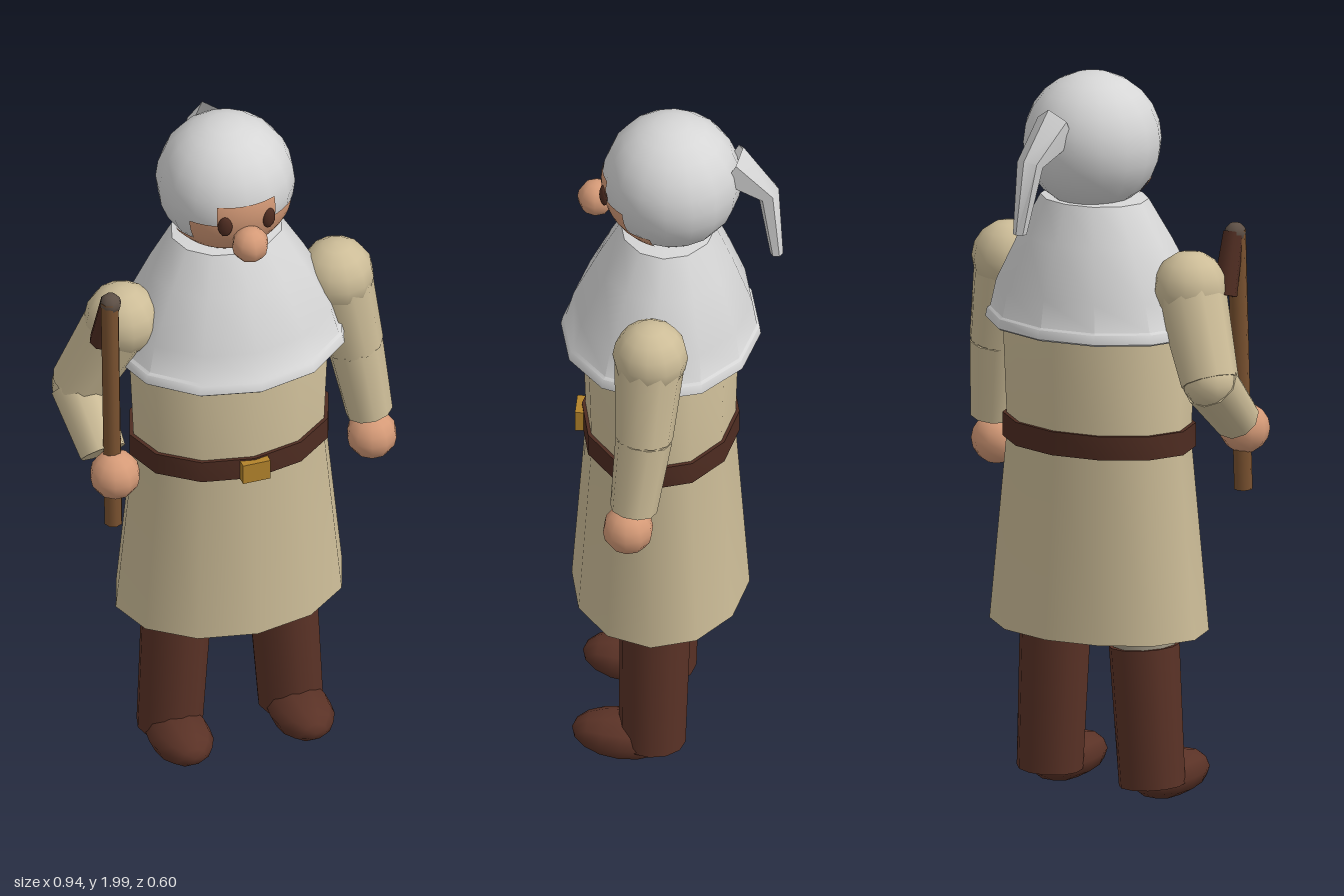
import * as THREE from 'three';
import { toCreasedNormals } from 'three/addons/utils/BufferGeometryUtils.js';

const mat = (name, color) => {
  const m = new THREE.MeshStandardMaterial({ color });
  m.name = name;
  return m;
};
const V = (x, y, z) => new THREE.Vector3(x, y, z);
const CX = 0.013; // body centre line

export function createModel() {
  const root = new THREE.Group();
  root.name = 'figure';
  const tunicTan = mat('tunicTan', 0xcdbd98);
  const hoodGrey = mat('hoodGrey', 0xd6d6d6);
  const skin = mat('skin', 0xd69b78);
  const bootBrown = mat('bootBrown', 0x5a3226);
  const darkBrown = mat('darkBrown', 0x4e2c21);
  const brass = mat('brass', 0xb3832b);
  const staffWood = mat('staffWood', 0x7a5230);
  const staffTip = mat('staffTip', 0x5e5046);
  const hoseGrey = mat('hoseGrey', 0xa39b88);

  const add = (name, geometry, material, x = 0, y = 0, z = 0) => {
    const mesh = new THREE.Mesh(geometry, material);
    mesh.name = name;
    mesh.position.set(x, y, z);
    root.add(mesh);
    return mesh;
  };
  // oval lathe of 12 sides from [radius, y] pairs
  const oval = (pairs, depth, lean = 0) => {
    const g = new THREE.LatheGeometry(pairs.map(p => new THREE.Vector2(...p)), 12);
    g.scale(1, 1, depth);
    g.applyMatrix4(new THREE.Matrix4().makeShear(0, 0, 0, lean, 0, 0));
    return toCreasedNormals(g, 0.85);
  };
  const ball = (name, r, material, c, w = 10, h = 8) =>
    add(name, new THREE.SphereGeometry(r, w, h), material, c.x, c.y, c.z);
  // tapered rod between two points
  const rod = (name, a, b, ra, rb, material, sides = 10) => {
    const d = b.clone().sub(a);
    const mesh = add(name, new THREE.CylinderGeometry(rb, ra, d.length(), sides), material);
    mesh.position.copy(a).addScaledVector(d, 0.5);
    mesh.quaternion.setFromUnitVectors(V(0, 1, 0), d.normalize());
    return mesh;
  };

  // Tunic, belt and buckle
  add('tunic', oval([[0, 0.47], [0.322, 0.47], [0.27, 1.0], [0.284, 1.32], [0.24, 1.46], [0, 1.5]], 0.745),
    tunicTan, CX, 0, 0.03);
  add('belt', oval([[0.25, 0.975], [0.283, 0.975], [0.283, 1.04], [0.25, 1.04]], 0.75), darkBrown, CX, 0, 0.03);
  add('buckle', new THREE.BoxGeometry(0.078, 0.06, 0.03), brass, CX, 1.005, 0.243);

  // Shoulder cape with a thick hem
  add('cape', oval([[0.24, 1.31], [0.318, 1.3], [0.325, 1.305], [0.319, 1.33], [0.31, 1.335],
    [0.29, 1.41], [0.217, 1.55], [0.155, 1.655], [0.1, 1.66]], 0.83, -0.057), hoodGrey, CX, 0, 0.104);

  // Hooded head
  const HY = 1.812;
  const R = 0.188;
  add('hood', new THREE.SphereGeometry(R, 16, 12), hoodGrey, CX, HY, 0);

  // Face opening: three bands of thin shell, each [bottom, top, half angle]
  [[1.64, 1.72, 74], [1.72, 1.79, 50], [1.79, 1.85, 26]].forEach(([y0, y1, deg]) => {
    const r = R + 0.002;
    const a = THREE.MathUtils.degToRad(deg);
    const t0 = Math.acos((y1 - HY) / r);
    const t1 = Math.acos((y0 - HY) / r);
    add('face', new THREE.SphereGeometry(r, 14, 4, Math.PI / 2 - a, 2 * a, t0, t1 - t0), skin, CX, HY, 0);
  });
  for (const s of [-1, 1]) {
    const eye = ball('eye', 1, darkBrown, V(CX + s * 0.062, 1.79, 0.177));
    eye.scale.set(0.02, 0.032, 0.013);
    eye.rotation.y = s * 0.33;
  }
  ball('nose', 0.051, skin, V(CX, 1.735, 0.204), 8, 8);

  // Hood tail: three hexagonal sections, centre, half width and tilted half depth
  const sections = [
    [V(0.015, 1.87, -0.16), 0.056, V(0, 0.055, -0.03)],
    [V(0.025, 1.79, -0.262), 0.038, V(0, 0.012, -0.025)],
    [V(0.042, 1.6, -0.285), 0.019, V(0, 0.0, -0.016)],
  ];
  const pos = [];
  const idx = [];
  sections.forEach(([c, w, d], k) => {
    for (let i = 0; i < 6; i++) {
      const a = (i + 0.5) / 6 * Math.PI * 2;
      const p = c.clone().addScaledVector(d, Math.sin(a) * 1.1);
      pos.push(p.x + w * Math.cos(a), p.y, p.z);
      if (k < 2) {
        const q = k * 6 + i, n = k * 6 + (i + 1) % 6;
        idx.push(q, q + 6, n, n, q + 6, n + 6);
      }
    }
  });
  for (let i = 1; i < 5; i++) idx.push(12, 12 + i + 1, 12 + i);
  const tail = new THREE.BufferGeometry();
  tail.setAttribute('position', new THREE.Float32BufferAttribute(pos, 3));
  tail.setIndex(idx);
  const tailMesh = add('hoodTail', toCreasedNormals(tail, 0.6), hoodGrey);
  tailMesh.material = hoodGrey.clone();
  tailMesh.material.side = THREE.DoubleSide;

  // Legs, boots and shoes
  for (const s of [-1, 1]) {
    const top = V(CX + s * 0.15, 0.435, 0.032);
    const foot = V(CX + s * 0.172, 0.05, 0.038);
    rod('hose', top, V(top.x - s * 0.002, 0.55, 0.03), 0.088, 0.088, hoseGrey);
    rod('boot', foot, top, 0.09, 0.096, bootBrown, 12);
    const shoe = ball('shoe', 1, bootBrown, V(foot.x, 0.066, 0.12), 10, 8);
    shoe.geometry.rotateX(Math.PI / 2);
    shoe.scale.set(0.086, 0.062, 0.135);
    shoe.rotation.x = -0.1;
  }

  // Arms: [shoulder, elbow, wrist, hand]
  const arms = {
    left: [V(0.318, 1.44, 0.032), V(0.366, 1.2, 0.045), V(0.398, 0.985, 0.07), V(0.4, 0.917, 0.085)],
    right: [V(-0.292, 1.44, 0.032), V(-0.398, 1.205, -0.02), V(-0.378, 1.075, 0.125), V(-0.363, 1.037, 0.18)],
  };
  for (const [side, [shoulder, elbow, wrist, hand]] of Object.entries(arms)) {
    ball(side + 'Shoulder', 0.102, tunicTan, shoulder, 12, 8);
    rod(side + 'UpperArm', shoulder, elbow, 0.096, 0.078, tunicTan);
    ball(side + 'Elbow', 0.074, tunicTan, elbow);
    rod(side + 'Forearm', elbow, wrist, 0.077, 0.064, tunicTan);
    ball(side + 'Hand', 0.069, skin, hand);
  }

  // Flail: long stick, short beater hanging behind, end knob
  rod('flailStick', V(-0.365, 0.87, 0.172), V(-0.365, 1.59, 0.142), 0.025, 0.025, staffWood, 8);
  rod('flailBeater', V(-0.368, 1.42, 0.085), V(-0.36, 1.585, 0.135), 0.034, 0.028, darkBrown, 8);
  ball('flailKnob', 0.03, staffTip, V(-0.362, 1.582, 0.14), 8, 6);

  return root;
}
